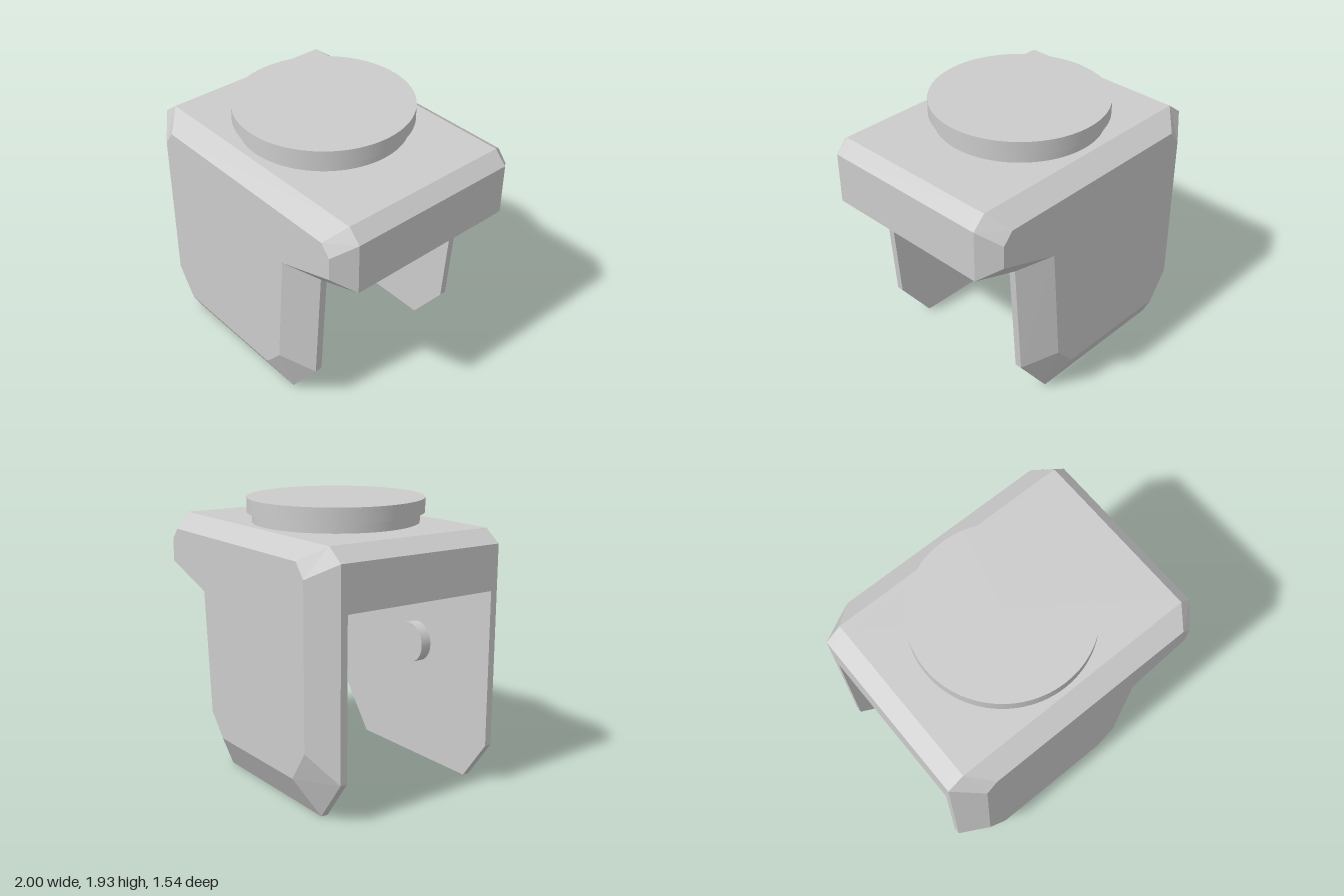
import * as THREE from 'three';

const grey = new THREE.MeshStandardMaterial({ color: 0xcccccc });
const flat = new THREE.MeshStandardMaterial({ color: 0xcccccc, flatShading: true });

// Side plate outlines, counter-clockwise from the front: full size, and shrunk by the chamfer
const outer = [[-0.79, 0], [0.34, 0], [0.59, 0.33], [0.65, 1.19], [1, 1.31], [1, 1.67],
  [0.91, 1.76], [-0.88, 1.76], [-1, 1.67], [-1, 0.28]];
const face = [[-0.67, 0.25], [0.23, 0.25], [0.37, 0.41], [0.44, 1.27], [0.89, 1.42], [0.89, 1.58],
  [0.82, 1.66], [-0.73, 1.66], [-0.81, 1.56], [-0.81, 0.46]];
// Roof section that bridges the two plates
const roof = [[-1, 1.36], [0.3, 1.36], [0.8, 1.24], [1, 1.31], [1, 1.67],
  [0.91, 1.76], [-0.88, 1.76], [-1, 1.67]];

const INNER_Z = 0.58, RIM_Z = 0.63, FACE_Z = 0.77;

// Closed solid through a stack of matching outlines; side = -1 mirrors it in z
function loft(layers, side) {
  const n = layers[0].points.length;
  const positions = layers.flatMap(({ points, z }) => points.flatMap(([x, y]) => [x, y, z * side]));
  const index = [];
  const tri = (a, b, c) => index.push(...(side > 0 ? [a, b, c] : [a, c, b]));
  for (let k = 0; k < layers.length - 1; k++) {
    for (let i = 0; i < n; i++) {
      const j = (i + 1) % n, a = k * n + i, b = k * n + j;
      tri(a, b, b + n);
      tri(a, b + n, a + n);
    }
  }
  const cap = ({ points }) =>
    THREE.ShapeUtils.triangulateShape(points.map(([x, y]) => new THREE.Vector2(x, y)), []);
  const last = (layers.length - 1) * n;
  cap(layers[0]).forEach(([a, b, c]) => tri(a, c, b));
  cap(layers[layers.length - 1]).forEach(([a, b, c]) => tri(last + a, last + b, last + c));
  const indexed = new THREE.BufferGeometry();
  indexed.setAttribute('position', new THREE.Float32BufferAttribute(positions, 3));
  indexed.setIndex(index);
  const geometry = indexed.toNonIndexed();
  geometry.computeVertexNormals();
  return geometry;
}

function add(parent, name, geometry, material, x = 0, y = 0, z = 0) {
  const mesh = new THREE.Mesh(geometry, material);
  mesh.name = name;
  mesh.position.set(x, y, z);
  parent.add(mesh);
  return mesh;
}

export function createModel() {
  const model = new THREE.Group();
  model.name = 'forkBracket';

  // Roof with a sloping underside towards the lip
  const roofShape = new THREE.Shape(roof.map(([x, y]) => new THREE.Vector2(x, y)));
  const roofGeometry = new THREE.ExtrudeGeometry(roofShape, { depth: 2 * INNER_Z, bevelEnabled: false });
  add(model, 'roof', roofGeometry, flat, 0, 0, -INNER_Z);

  // Chamfered side plates, each with a round pivot boss on its inner face
  for (const side of [1, -1]) {
    const end = side > 0 ? 'front' : 'back';
    add(model, `${end}Plate`, loft([
      { points: outer, z: INNER_Z },
      { points: outer, z: RIM_Z },
      { points: face, z: FACE_Z },
    ], side), flat);
    const boss = add(model, `${end}PivotBoss`, new THREE.CylinderGeometry(0.145, 0.145, 0.08, 48),
      grey, -0.26, 0.865, side * 0.54);
    boss.rotation.x = Math.PI / 2;
  }

  // Round mounting disc on a slightly narrower neck
  add(model, 'discNeck', new THREE.CylinderGeometry(0.575, 0.575, 0.07, 96), grey, -0.055, 1.795, 0);
  add(model, 'mountingDisc', new THREE.CylinderGeometry(0.61, 0.61, 0.1, 96), grey, -0.055, 1.88, 0);

  return model;
}
